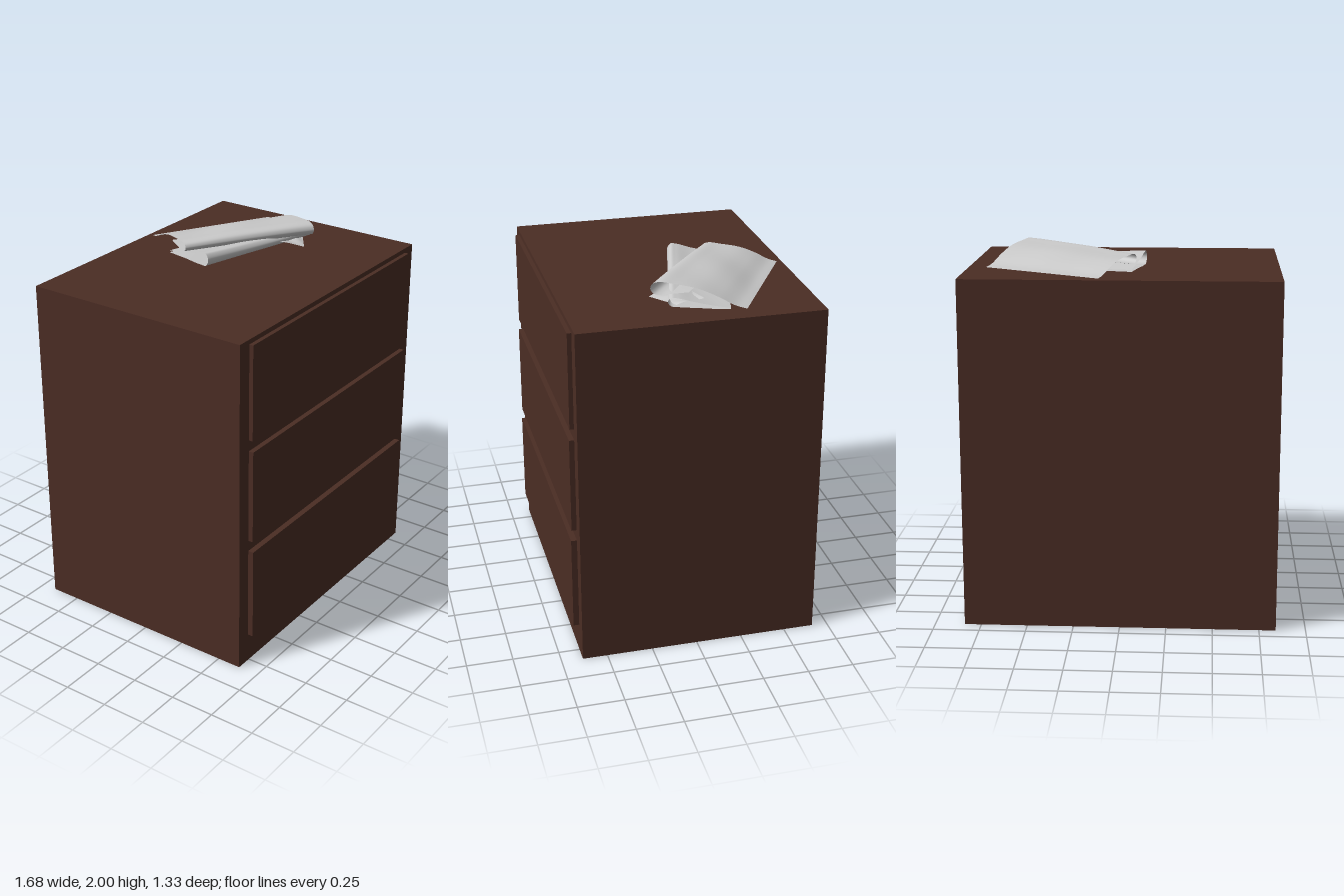
import * as THREE from 'three';

const TOP = 1.885;

// Folded cloth: a cross-section swept over a four-cornered footprint.
// corners [x, z]: back-left, back-right, front-right, front-left
// profile [t, h]: t runs from back (0) to front (1), h is height above the cabinet
function foldedCloth(name, corners, profile, scaleLeft, scaleRight, ripple, material) {
  const [bl, br, fr, fl] = corners;
  const curve = new THREE.CatmullRomCurve3(
    profile.map(([t, h]) => new THREE.Vector3(t, h, 0)), false, 'centripetal');
  const rows = 72, cols = 36;
  const pts = curve.getPoints(rows);
  const geo = new THREE.PlaneGeometry(1, 1, cols, rows);
  const pos = geo.attributes.position;
  const mix = THREE.MathUtils.lerp;
  for (let j = 0; j <= rows; j++) {
    for (let i = 0; i <= cols; i++) {
      const s = i / cols, t = pts[j].x;
      const x = mix(mix(bl[0], br[0], s), mix(fl[0], fr[0], s), t);
      const z = mix(mix(bl[1], br[1], s), mix(fl[1], fr[1], s), t);
      const wave = ripple * Math.sin(s * 11 + t * 4) * Math.sin(Math.PI * Math.min(1, t));
      const h = pts[j].y * mix(scaleLeft, scaleRight, Math.sin(s * Math.PI / 2)) + wave;
      pos.setXYZ(j * (cols + 1) + i, x, TOP + Math.max(0.002, h), z);
    }
  }
  geo.computeVertexNormals();
  const mesh = new THREE.Mesh(geo, material);
  mesh.name = name;
  return mesh;
}

export function createModel() {
  const model = new THREE.Group();
  model.name = 'nightstand';

  const wood = new THREE.MeshStandardMaterial({ color: 0x4b2d24 });
  wood.name = 'dark brown wood';
  const linen = new THREE.MeshStandardMaterial({ color: 0xc8c8c8, side: THREE.DoubleSide });
  linen.name = 'light grey linen';

  const box = (name, w, h, d, x, y, z) => {
    const mesh = new THREE.Mesh(new THREE.BoxGeometry(w, h, d), wood);
    mesh.name = name;
    mesh.position.set(x, y, z);
    model.add(mesh);
  };

  // Cabinet body
  box('cabinet', 1.68, TOP, 1.3, 0, TOP / 2, -0.015);

  // Drawer fronts, each lower one standing slightly further out
  ['bottomDrawer', 'middleDrawer', 'topDrawer'].forEach((name, i) => {
    const depth = 0.031 - i * 0.004;
    box(name, 1.52, 0.523, depth, 0, 0.428 + i * 0.585, 0.635 + depth / 2);
  });

  // Folded cloth on the top: two rolled layers and a loose corner
  const cloth = new THREE.Group();
  cloth.name = 'cloth';
  cloth.add(
    foldedCloth('upperFold',
      [[0.11, -0.635], [0.74, -0.27], [0.53, 0.18], [-0.07, -0.265]],
      [[0, 0.006], [0.12, 0.02], [0.3, 0.06], [0.5, 0.092], [0.75, 0.109], [0.92, 0.115],
        [0.985, 0.1], [1, 0.078], [0.97, 0.054], [0.9, 0.045], [0.78, 0.055], [0.6, 0.07]],
      0.76, 1, 0.003, linen),
    foldedCloth('lowerFold',
      [[-0.05, -0.39], [0.72, -0.19], [0.615, 0.11], [-0.118, -0.078]],
      [[0, 0.014], [0.3, 0.03], [0.6, 0.05], [0.85, 0.073], [0.95, 0.073],
        [1, 0.045], [0.96, 0.015], [0.8, 0.005], [0.4, 0.004], [0, 0.004]],
      1.05, 0.7, 0.002, linen),
    foldedCloth('looseCorner',
      [[0.36, 0.0], [0.62, -0.08], [0.6, 0.06], [0.45, 0.168]],
      [[0, 0.03], [0.4, 0.022], [0.8, 0.012], [1, 0.004]],
      1, 1.2, 0.004, linen));
  model.add(cloth);

  return model;
}
